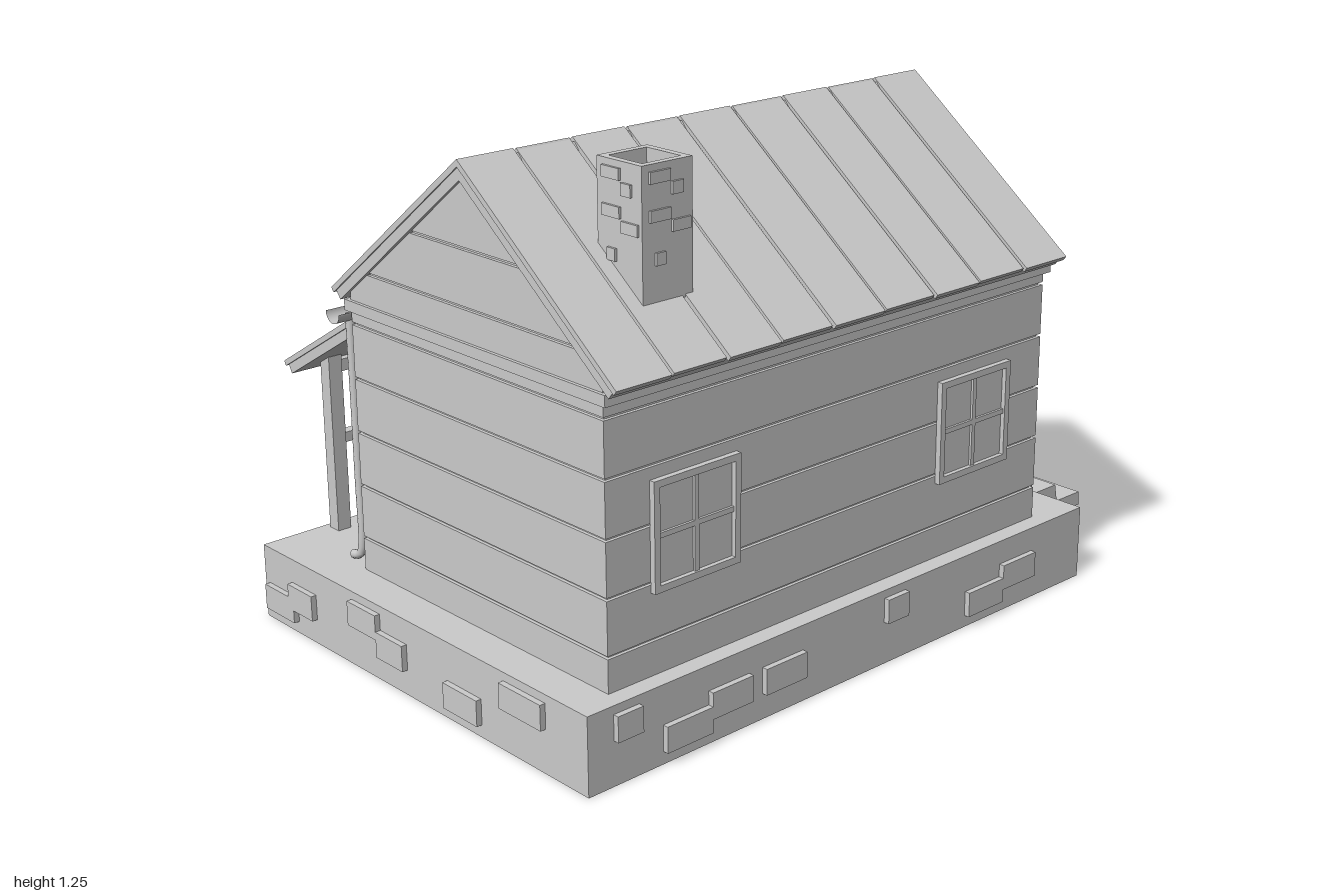
import * as THREE from 'three';

const flat = new THREE.MeshStandardMaterial({ color: 0xcccccc, flatShading: true });
const smooth = new THREE.MeshStandardMaterial({ color: 0xcccccc });
const sheet = new THREE.MeshStandardMaterial({ color: 0xcccccc, side: THREE.DoubleSide });

const WALL_X0 = -0.89, WALL_X1 = 0.485, MID_Z = 0.145, HALF_Z = 0.435;

function add(parent, name, geometry, material = flat) {
  const mesh = new THREE.Mesh(geometry, material);
  mesh.name = name;
  parent.add(mesh);
  return mesh;
}

// Box given by its low and high corners
function box(parent, name, x0, x1, y0, y1, z0, z1) {
  const g = new THREE.BoxGeometry(x1 - x0, y1 - y0, z1 - z0);
  g.translate((x0 + x1) / 2, (y0 + y1) / 2, (z0 + z1) / 2);
  return add(parent, name, g);
}

function polygon(points) {
  return new THREE.Shape(points.map(([x, y]) => new THREE.Vector2(x, y)));
}

function extrude(shape, depth) {
  return new THREE.ExtrudeGeometry(shape, { depth, bevelEnabled: false });
}

function rectFrame(w, h, t, depth) {
  const rect = (a, b) => [[-a, -b], [a, -b], [a, b], [-a, b]];
  const shape = polygon(rect(w / 2, h / 2));
  shape.holes.push(polygon(rect(w / 2 - t, h / 2 - t)));
  return extrude(shape, depth);
}

// Group whose local +z points out of a side: x runs along it, y is up
function side(parent, name, angle, x, z) {
  const g = new THREE.Group();
  g.name = name;
  g.rotation.y = angle;
  g.position.set(x, 0, z);
  parent.add(g);
  return g;
}

function bricks(group, list, depth) {
  for (const [u0, u1, y0, y1] of list) box(group, 'brick', u0, u1, y0, y1, -0.005, depth);
}

function windowUnit(parent, x, y, w, h, t) {
  const g = new THREE.Group();
  g.name = 'window';
  g.position.set(x, y, 0);
  add(g, 'windowFrame', rectFrame(w, h, t, 0.014));
  box(g, 'pane', -w / 2 + t, w / 2 - t, -h / 2 + t, h / 2 - t, -0.01, 0.003);
  box(g, 'uprightBar', -0.006, 0.006, -h / 2 + t, h / 2 - t, 0, 0.009);
  box(g, 'crossBar', -w / 2 + t, w / 2 - t, -0.006, 0.006, 0, 0.009);
  parent.add(g);
}

// One roof slope hung from its upper edge, with sheets laid between the seams
function roofSlope(parent, name, angle, length, seams) {
  const g = new THREE.Group();
  g.name = name;
  g.rotation.x = angle;
  const n = seams.length - 1;
  box(g, 'roofDeck', seams[0] + 0.008, seams[n] - 0.008, -0.036, -0.012, 0, length - 0.008);
  for (let i = 0; i < n; i++) {
    const gap = 0.004, shift = i % 2 ? 0.003 : 0;
    box(g, 'roofSheet', seams[i] + gap, seams[i + 1] - gap, -0.013, 0 - shift * 0.5, 0, length - shift);
  }
  parent.add(g);
  return g;
}

function buildBase(model) {
  const base = new THREE.Group();
  base.name = 'foundation';
  model.add(base);
  // Open-bottomed stone plinth
  const ring = polygon([[-0.985, -0.625], [0.62, -0.625], [0.62, 0.578], [-0.985, 0.578]]);
  const top = new THREE.ShapeGeometry(ring).rotateX(-Math.PI / 2).translate(0, 0.185, 0);
  add(base, 'plinthTop', top, sheet);
  for (const [w, a, x, z] of [[1.605, 0, -0.1825, 0.625], [1.605, Math.PI, -0.1825, -0.578],
    [1.203, Math.PI / 2, 0.62, 0.0235], [1.203, -Math.PI / 2, -0.985, 0.0235]]) {
    const g = new THREE.PlaneGeometry(w, 0.185).rotateY(a).translate(x, 0.0925, z);
    add(base, 'plinthSide', g, sheet);
  }
  const lo = [0.03, 0.092], mid = [0.062, 0.125], hi = [0.105, 0.165];
  bricks(side(base, 'frontBricks', 0, 0, 0.625), [
    [-0.915, -0.845, ...hi], [-0.78, -0.65, ...lo], [-0.65, -0.53, ...mid], [-0.49, -0.365, ...mid],
    [-0.1, -0.03, ...hi], [0.185, 0.31, ...lo], [0.31, 0.43, ...mid]], 0.014);
  bricks(side(base, 'rightBricks', Math.PI / 2, 0.62, 0), [
    [-0.6, -0.47, ...hi], [-0.46, -0.39, ...lo], [0.08, 0.21, ...hi], [0.21, 0.335, ...lo],
    [0.31, 0.38, 0.07, 0.13], [0.43, 0.565, ...lo]], 0.014);
  bricks(side(base, 'backBricks', Math.PI, 0, -0.578), [
    [-0.58, -0.45, ...hi], [-0.4, -0.3, ...lo], [-0.22, -0.1, ...hi], [-0.06, 0.05, ...lo], [0.04, 0.13, ...mid],
    [0.2, 0.32, ...lo], [0.38, 0.46, ...hi], [0.52, 0.64, ...mid], [0.7, 0.79, ...lo], [0.84, 0.94, ...hi]], 0.013);
  bricks(side(base, 'leftBricks', -Math.PI / 2, -0.985, 0), [
    [-0.56, -0.44, ...lo], [-0.46, -0.36, ...mid], [-0.21, -0.1, ...hi], [-0.1, 0.0, ...mid],
    [0.15, 0.27, ...lo], [0.35, 0.49, ...hi]], 0.014);
}

function buildSteps(model) {
  const steps = new THREE.Group();
  steps.name = 'steps';
  steps.position.z = -0.063;
  model.add(steps);
  const line = [[0.615, 0.184], [0.685, 0.184], [0.695, 0.136], [0.787, 0.136], [0.797, 0.087],
    [0.892, 0.087], [0.902, 0.038], [0.997, 0.038], [1, 0]];
  // Folded treads and risers, hollow underneath
  for (let i = 0; i < line.length - 1; i++) {
    const [[x0, y0], [x1, y1]] = [line[i], line[i + 1]];
    const g = new THREE.PlaneGeometry(Math.hypot(x1 - x0, y1 - y0), 0.4).rotateX(-Math.PI / 2);
    g.rotateZ(Math.atan2(y1 - y0, x1 - x0)).translate((x0 + x1) / 2, (y0 + y1) / 2, 0.2);
    add(steps, i % 2 ? 'riser' : 'tread', g, sheet);
  }
  const cheek = new THREE.ShapeGeometry(polygon([...line, [0.615, 0]]));
  for (const z of [0, 0.4]) add(steps, 'stepSide', cheek, sheet).position.z = z;
}

function buildWalls(model) {
  const house = new THREE.Group();
  house.name = 'house';
  model.add(house);
  // Cross-section slice of the house between two heights, run along its length
  const half = (y, inset) => Math.max(0.001, Math.min(HALF_Z, (1.205 - y) / 0.77) - inset);
  const slice = (name, y0, y1, inset) => {
    const ys = [y0, ...(y0 < 0.87 && y1 > 0.87 ? [0.87] : []), y1];
    const rightEdge = ys.map((y) => [half(y, inset), y]);
    const leftEdge = ys.map((y) => [-half(y, inset), y]).reverse();
    const g = extrude(polygon([...rightEdge, ...leftEdge]), WALL_X1 - WALL_X0 - 2 * inset);
    g.rotateY(Math.PI / 2).translate(WALL_X0 + inset, 0, MID_Z);
    add(house, name, g);
  };
  slice('wallCore', 0.185, 1.19, 0.008);
  const joints = [0.185, 0.27, 0.4, 0.53, 0.66, 0.79, 0.92, 1.05, 1.2];
  for (let i = 0; i < joints.length - 1; i++) slice('wallBoard', joints[i], joints[i + 1] - 0.007, 0);
  box(house, 'wallPlate', WALL_X0 - 0.008, WALL_X1 + 0.008, 0.816, 0.842, MID_Z - 0.45, MID_Z + 0.45);

  // Windows on both long walls
  for (const [angle, z] of [[0, 0.58], [Math.PI, -0.29]]) {
    const wall = side(house, 'longWallWindows', angle, 0, z);
    for (const x of [-0.648, 0.237]) windowUnit(wall, angle ? -x : x, 0.5, 0.245, 0.25, 0.016);
  }

  // Door with its frame, window and knob, and the eight-sided gable window
  const end = side(house, 'doorWall', Math.PI / 2, WALL_X1, 0);
  const door = new THREE.Group();
  door.name = 'door';
  end.add(door);
  const frame = polygon([[-0.307, 0.186], [-0.28, 0.186], [-0.28, 0.678], [-0.007, 0.678], [-0.007, 0.186],
    [0.02, 0.186], [0.018, 0.702], [-0.303, 0.702]]);
  add(door, 'doorFrame', extrude(frame, 0.014));
  box(door, 'doorPanel', -0.28, -0.007, 0.186, 0.678, -0.005, 0.004);
  windowUnit(door, -0.145, 0.565, 0.168, 0.15, 0.012);
  const knob = add(door, 'doorKnob', new THREE.SphereGeometry(0.016, 16, 12), smooth);
  knob.position.set(-0.04, 0.445, 0.014);

  const octagon = (r) => [...Array(8)].map((_, i) => [r * Math.cos(i * Math.PI / 4), r * Math.sin(i * Math.PI / 4)]);
  const ring = polygon(octagon(0.105));
  ring.holes.push(polygon(octagon(0.086)));
  const gable = new THREE.Group();
  gable.name = 'gableWindow';
  gable.position.set(-MID_Z, 1.01, 0);
  end.add(gable);
  add(gable, 'gableWindowFrame', extrude(ring, 0.016));
  add(gable, 'gableWindowPane', extrude(polygon(octagon(0.09)), 0.003));
  box(gable, 'uprightBar', -0.006, 0.006, -0.085, 0.085, 0, 0.01);
  box(gable, 'crossBar', -0.085, 0.085, -0.006, 0.006, 0, 0.01);
}

function buildRoof(model) {
  const seams = [-0.907, -0.752, -0.6, -0.445, -0.29, -0.128, 0.035, 0.187, 0.347, 0.502];
  for (const front of [true, false]) {
    const half = new THREE.Group();
    half.name = front ? 'frontRoof' : 'backRoof';
    half.position.set(0, 1.24, MID_Z);
    half.rotation.y = front ? 0 : Math.PI;
    model.add(half);
    roofSlope(half, 'roofSlope', Math.atan(0.77), 0.62, front ? seams : seams.map((x) => -x).reverse());
  }
  // Hollow chimney with raised bricks
  const chimney = new THREE.Group();
  chimney.name = 'chimney';
  chimney.position.set(-0.643, 0, 0.431);
  model.add(chimney);
  const shaft = rectFrame(0.138, 0.138, 0.017, 0.295).rotateX(-Math.PI / 2).translate(0, 0.96, 0);
  add(chimney, 'chimneyShaft', shaft);
  for (let i = 0; i < 4; i++) {
    const a = i * Math.PI / 2;
    const face = side(chimney, 'chimneyBricks', a, 0.069 * Math.sin(a), 0.069 * Math.cos(a));
    bricks(face, [[-0.05, 0.005, 1.215, 1.24], [0.01, 0.04, 1.185, 1.212], [-0.05, 0.005, 1.135, 1.16],
      [0.01, 0.06, 1.107, 1.132], [-0.035, -0.01, 1.043, 1.07]], 0.006);
  }
}

function buildPorch(model) {
  const porch = new THREE.Group();
  porch.name = 'porch';
  model.add(porch);
  const seams = [-0.865, -0.72, -0.57, -0.42, -0.275, 0.16, 0.305, 0.455];
  const cover = new THREE.Group();
  cover.name = 'porchRoof';
  cover.position.set(0, 0.797, -0.31);
  cover.rotation.y = Math.PI;
  porch.add(cover);
  roofSlope(cover, 'porchSlope', Math.atan(0.584), 0.376, seams.map((x) => -x).reverse());

  // Posts, beam and railing
  const left = -0.79, right = 0.38, z = -0.542;
  for (const x of [left, right]) box(porch, 'post', x - 0.018, x + 0.018, 0, 0.63, z - 0.018, z + 0.018);
  box(porch, 'beam', left, right, 0.585, 0.615, z - 0.012, z + 0.012);
  box(porch, 'handrail', left, right, 0.405, 0.43, z - 0.014, z + 0.014);
  for (let i = 1; i < 5; i++) {
    const x = left + (right - left) * i / 5;
    box(porch, 'baluster', x - 0.009, x + 0.009, 0.185, 0.41, z - 0.009, z + 0.009);
  }

  // Half-round gutter and a downpipe at each end
  const gutter = new THREE.CylinderGeometry(0.026, 0.026, 1.43, 16, 1, true, Math.PI, Math.PI);
  gutter.rotateZ(Math.PI / 2).translate(-0.205, 0.81, -0.322);
  add(porch, 'gutter', gutter, sheet);
  for (const x of [-0.875, 0.47]) {
    const path = new THREE.CatmullRomCurve3([[0.8, -0.32], [0.6, -0.318], [0.4, -0.318], [0.24, -0.318],
      [0.208, -0.328], [0.198, -0.358]].map(([y, pz]) => new THREE.Vector3(x, y, pz)));
    add(porch, 'downpipe', new THREE.TubeGeometry(path, 32, 0.011, 10), sheet);
  }
}

export function createModel() {
  const model = new THREE.Group();
  model.name = 'cabin';
  for (const build of [buildBase, buildSteps, buildWalls, buildRoof, buildPorch]) build(model);
  return model;
}
